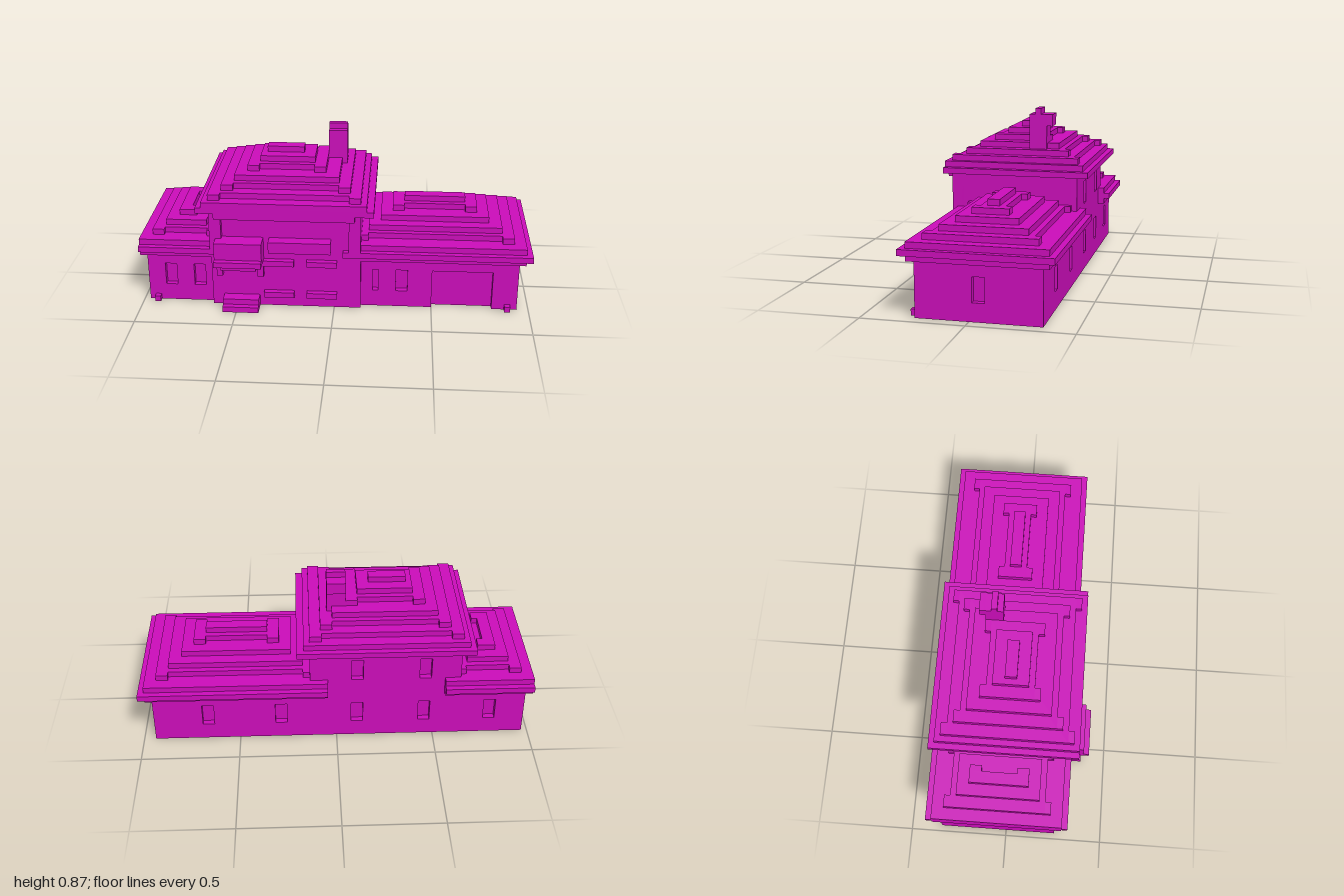
import * as THREE from 'three';

const paint = new THREE.MeshStandardMaterial({ color: 0xcc0dbb });
paint.name = 'magenta';

export function createModel() {
  const house = new THREE.Group();
  house.name = 'house';

  // Block given by its min and max on each axis
  function block(name, x0, x1, y0, y1, z0, z1) {
    const mesh = new THREE.Mesh(new THREE.BoxGeometry(x1 - x0, y1 - y0, z1 - z0), paint);
    mesh.position.set((x0 + x1) / 2, (y0 + y1) / 2, (z0 + z1) / 2);
    mesh.name = name;
    house.add(mesh);
    return mesh;
  }

  // Thin wall panel with rectangular openings [u0, u1, v0, v1]
  const T = 0.03;
  function panel(name, u0, u1, v0, v1, openings, z, sideways = false) {
    const rect = (Kind, a, b, c, d) => {
      const r = new Kind();
      r.moveTo(a, c); r.lineTo(b, c); r.lineTo(b, d); r.lineTo(a, d); r.closePath();
      return r;
    };
    const shape = rect(THREE.Shape, u0, u1, v0, v1);
    for (const o of openings) shape.holes.push(rect(THREE.Path, ...o));
    const geo = new THREE.ExtrudeGeometry(shape, { depth: T, bevelEnabled: false });
    geo.translate(0, 0, z);
    if (sideways) geo.rotateY(-Math.PI / 2).translate(0, 0, 0);
    const mesh = new THREE.Mesh(geo, paint);
    mesh.name = name;
    house.add(mesh);
  }

  // Stepped roof course; some courses have raised hip ends at the corners
  function course(name, x0, x1, y, zc, half, hips) {
    const h = hips ? half - T : half;
    block(name, x0, x1, y, y + T, zc - h, zc + h);
    if (!hips) return;
    for (const x of [x0, x1 - 0.06])
      for (const s of [-1, 1]) {
        const a = zc + s * h, b = zc + s * half;
        block(name + 'HipEnd', x, x + 0.06, y, y + T, Math.min(a, b), Math.max(a, b));
      }
  }

  // Solid cores behind the wall panels
  block('wingCore', -0.94, 0.91, 0, 0.3, -0.312, 0.225);
  block('centralCore', -0.6, 0.105, 0, 0.56, -0.312, 0.255);

  // Back walls with recessed windows
  const win = (u, v = 0.09) => [u, u + 0.06, v, v + 0.12];
  panel('backWallLeft', 0.135, 0.94, 0, 0.28, [win(0.63), win(0.255)], -0.342);
  panel('backWallCentre', -0.63, 0.135, 0, 0.55,
    [win(-0.135), win(-0.48), win(-0.135, 0.36), win(-0.48, 0.36)], -0.342);
  panel('backWallRight', -0.97, -0.63, 0, 0.28, [win(-0.82)], -0.342);

  // End walls, each with one window
  panel('leftEndWall', -0.342, 0.255, 0, 0.28, [win(-0.075)], -0.94, true);
  panel('rightEndWall', -0.342, 0.255, 0, 0.28, [win(-0.075)], 0.94, true);

  // Front walls and recessed garage
  panel('frontWallRight', -0.97, -0.63, 0, 0.28, [win(-0.88), win(-0.73)], 0.225);
  panel('frontWallLeft', 0.105, 0.5, 0, 0.28,
    [[0.195, 0.225, 0.09, 0.21], win(0.315)], 0.225);
  block('garageLintel', 0.5, 0.81, 0.21, 0.28, 0.225, 0.255);
  block('garageSide', 0.81, 0.94, 0, 0.28, 0.225, 0.255);
  block('centralFront', -0.63, 0.135, 0, 0.55, 0.255, 0.285);
  block('centralSide', 0.105, 0.135, 0.2, 0.55, -0.312, 0.255);
  block('centralSide', -0.63, -0.6, 0.2, 0.55, -0.312, 0.255);

  // Wing eaves
  const zc = -0.045;
  const eaves = [[0.27, 0.97, 0.33], [0.3, 1.0, 0.36], [0.33, 0.97, 0.33]];
  for (const [y, x, half] of eaves) {
    block('leftEave', 0.045, x, y, y + T, zc - half, zc + half);
    block('rightEave', -1.0, -0.55, y, y + T, zc - half, zc + half);
  }

  // Wing roofs
  const halves = [0.27, 0.21, 0.15, 0.09, 0.03];
  halves.forEach((half, i) => {
    const d = 0.06 * i;
    course('leftRoof', 0.11 + d, 0.91 - d + (i > 1 ? -0.005 : 0), 0.36 + T * i, zc, half, i === 0 || i === 3);
  });
  course('rightRoof', -0.94, -0.6, 0.36, zc, 0.27, true);
  course('rightRoof', -0.88, -0.67, 0.39, zc, 0.21, false);
  block('rightRoofTop', -0.82, -0.76, 0.42, 0.45, -0.195, 0.105);
  for (const z of [-0.195, 0.045]) block('rightRoofTopEnd', -0.76, -0.73, 0.42, 0.45, z, z + 0.06);

  // Central eaves, roof and chimney
  block('frontBeam', -0.6, 0.105, 0.51, 0.54, 0.285, 0.345);
  block('centralEave', -0.69, 0.2, 0.54, 0.57, -0.405, 0.345);
  block('centralEave', -0.66, 0.165, 0.57, 0.6, -0.375, 0.345);
  const courses = [[-0.63, 0.135], [-0.57, 0.08], [-0.51, 0.02], [-0.45, -0.05], [-0.39, -0.11], [-0.36, -0.17]];
  courses.forEach(([x0, x1], i) =>
    course('centralRoof', x0, x1, 0.6 + T * i, -0.015, 0.33 - 0.06 * i, i === 0 || i === 1 || i === 3));
  block('chimney', -0.05, 0.045, 0.6, 0.84, -0.165, -0.075);
  block('chimneyCap', -0.05, 0.045, 0.78, 0.84, -0.195, -0.165);
  block('chimneyPot', -0.05, 0.045, 0.84, 0.87, -0.135, -0.105);

  // Corner posts on the upper floor
  for (const x of [-0.63, 0.075]) block('cornerPost', x, x + 0.06, 0.33, 0.54, 0.285, 0.315);

  // Window ledges and long upper planter
  for (const x of [-0.36, -0.14])
    for (const y of [0.06, 0.24]) block('windowLedge', x, x + 0.155, y, y + T, 0.285, 0.315);
  block('planter', -0.33, -0.015, 0.33, 0.39, 0.285, 0.345);

  // Porch canopy, brackets and steps
  block('canopy', -0.6, -0.36, 0.27, 0.39, 0.285, 0.375);
  block('canopyRim', -0.6, -0.36, 0.27, 0.3, 0.375, 0.405);
  block('canopyUnderside', -0.57, -0.39, 0.24, 0.27, 0.285, 0.375);
  for (const x of [-0.6, -0.39]) block('canopyBracket', x, x + T, 0.18, 0.27, 0.285, 0.315);
  for (let i = 0; i < 2; i++)
    block('porchStep', -0.57, -0.385, T * i, T * (i + 1), 0.285, 0.375 - T * i);

  // Small stones at the front corners
  for (const x of [-0.94, 0.875]) block('cornerStone', x, x + T, 0, T, 0.255, 0.285);

  // Mirror check for the sideways panels: shift end walls onto their outer faces
  house.getObjectByName('leftEndWall').position.x = -0.03;
  house.getObjectByName('leftEndWall').position.x = 0;
  house.getObjectByName('rightEndWall').position.x = 0;
  return house;
}
